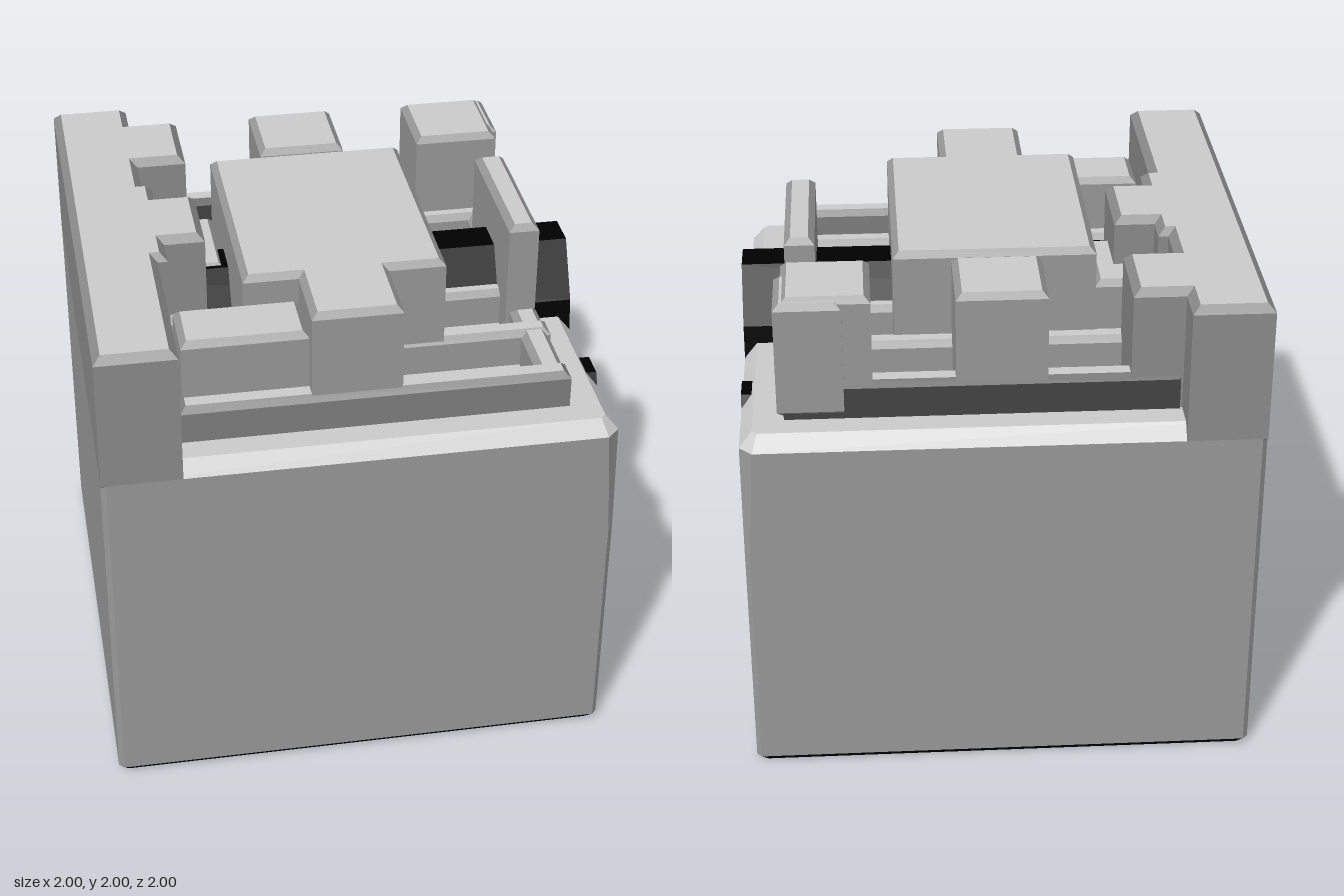
import * as THREE from 'three';
import { ConvexGeometry } from 'three/addons/geometries/ConvexGeometry.js';

const paint = (color) => new THREE.MeshStandardMaterial({ color, flatShading: true });
const topGrey = paint(0xc3c3c3);
const sideGrey = paint(0x999999);
const wallGrey = paint(0x8c8c8c);
const railGrey = paint(0x808080);
const darkGrey = paint(0x444444);
const black = paint(0x000000);

export function createModel() {
  const model = new THREE.Group();

  const add = (name, geometry, material) => {
    const mesh = new THREE.Mesh(geometry, material);
    mesh.name = name;
    model.add(mesh);
  };

  // Chamfered slab: [x, z] outline raised from y0 to y1, with light top and darker sides
  const slab = (name, outline, y0, y1, side = sideGrey, bevel = 0.025) => {
    const shape = new THREE.Shape(outline.map(([x, z]) => new THREE.Vector2(x, -z)));
    const geometry = new THREE.ExtrudeGeometry(shape, {
      depth: y1 - y0 - 2 * bevel, bevelSize: bevel, bevelThickness: bevel,
      bevelOffset: -bevel, bevelSegments: 1,
    });
    geometry.rotateX(-Math.PI / 2).translate(0, y0 + bevel, 0);
    add(name, geometry, [topGrey, side]);
  };

  const block = (name, x0, x1, z0, z1, y1, y0 = 1.42, side = sideGrey) =>
    slab(name, [[x0, z0], [x0, z1], [x1, z1], [x1, z0]], y0, y1, side);

  // Cube layer from rings of [height, half width, corner cut on the open side]
  const layer = (name, rings, material) => {
    const points = [];
    for (const [y, h, cut] of rings) {
      for (const sx of [-1, 1]) for (const sz of [-1, 1]) {
        const c = sx > 0 ? cut : 0.02;
        points.push(new THREE.Vector3(sx * h, y, sz * (h - c)), new THREE.Vector3(sx * (h - c), y, sz * h));
      }
    }
    add(name, new ConvexGeometry(points), material);
  };

  // Cube body with dark underside and light chamfered top
  layer('underside', [[0, 0.975, 0.02], [0.03, 1, 0.02]], black);
  layer('body', [[0.03, 1, 0.02], [1, 1, 0.02], [1.44, 1, 0.05]], sideGrey);
  layer('bodyTop', [[1.44, 1, 0.05], [1.5, 0.95, 0.02]], topGrey);

  // Tall side wall with stepped inner edge
  slab('sideWall', [
    [-1, -1], [-1, 1], [-0.69, 1], [-0.69, 0.3], [-0.65, 0.3], [-0.65, 0.17], [-0.49, 0.17],
    [-0.49, -0.18], [-0.65, -0.18], [-0.65, -0.3], [-0.69, -0.3], [-0.69, -0.49],
    [-0.49, -0.49], [-0.49, -0.84], [-0.69, -0.84], [-0.69, -1],
  ], 1.41, 2, wallGrey, 0.03);

  // Raised centre plate with a front tongue
  slab('centrePlate', [
    [-0.39, -0.46], [-0.39, 0.52], [-0.175, 0.52], [-0.175, 0.83],
    [0.175, 0.83], [0.175, 0.52], [0.4, 0.52], [0.4, -0.46],
  ], 1.42, 2);

  // Tall blocks and fin
  block('backBlock', -0.175, 0.175, -0.84, -0.49, 2);
  block('backCornerBlock', 0.49, 0.83, -0.84, -0.49, 2);
  block('backCornerPlate', 0.6, 0.855, -0.86, -0.58, 1.985, 1.51);
  block('fin', 0.7, 0.82, -0.31, 0.31, 2);
  block('frontLeftBlock', -0.66, -0.17, 0.5, 0.76, 1.88);
  block('innerLeftBlock', -0.72, -0.4, -0.34, 0.07, 1.8);

  // Low rails running across the top
  block('frontOuterRail', -0.68, 0.83, 0.745, 0.85, 1.65, 1.42, railGrey);
  block('backOuterRail', -0.68, 0.83, -0.85, -0.745, 1.65, 1.42, darkGrey);
  block('frontInnerRail', -0.68, 0.83, 0.43, 0.53, 1.65);
  block('backInnerRail', -0.68, 0.83, -0.53, -0.43, 1.65);
  block('middleRail', -0.68, 0.83, -0.21, 0.21, 1.65);
  block('frontRailLink', 0.71, 0.82, 0.33, 0.8, 1.645);
  block('backRailLink', 0.71, 0.82, -0.8, -0.33, 1.645);

  // Dark ten-sided oval rods passing through the body, ending just proud of the open side
  for (const [z, y, rz, ry] of [[0, 1.215, 0.24, 0.605], [0.56, 1.06, 0.18, 0.45], [-0.56, 1.06, 0.18, 0.45]]) {
    const rod = new THREE.CylinderGeometry(1, 1, 1.99, 10);
    rod.rotateZ(Math.PI / 2).scale(1, ry, rz).translate(0.006, y, z);
    add('darkRod', rod, black);
  }

  return model;
}
